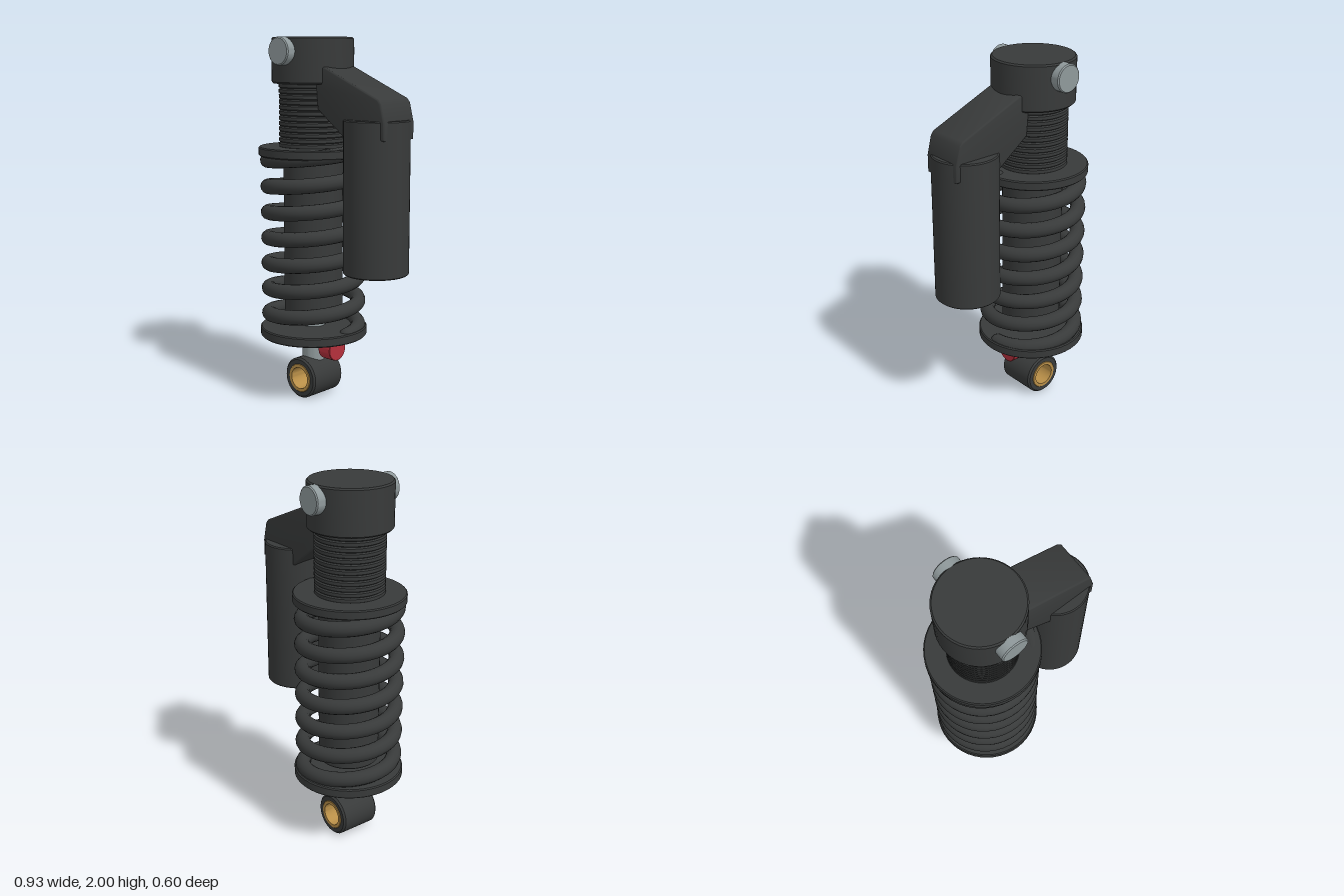
import * as THREE from 'three';
import { toCreasedNormals } from 'three/addons/utils/BufferGeometryUtils.js';

const AXIS = -0.167; // x of the damper centre line
const mat = (color) => new THREE.MeshStandardMaterial({ color });

export function createModel() {
  const root = new THREE.Group();
  const black = mat(0x383a3a), steel = mat(0x8f999b), red = mat(0xb5303c), brass = mat(0xb98f48);

  const add = (name, geometry, material, x = 0, y = 0, z = 0) => {
    const mesh = new THREE.Mesh(geometry, material);
    mesh.name = name;
    mesh.position.set(x, y, z);
    root.add(mesh);
    return mesh;
  };

  // Turned part from [radius, height] pairs, listed bottom to top
  const turned = (points, segments = 48) =>
    toCreasedNormals(new THREE.LatheGeometry(points.map(([r, y]) => new THREE.Vector2(r, y)), segments), 0.5);

  // Solid disc or rod with slightly chamfered rims
  const rod = (r, y0, y1, b = 0.006) =>
    turned([[0, y0], [r - b, y0], [r, y0 + b], [r, y1 - b], [r - b, y1], [0, y1]]);

  // Hollow sleeve centred on its own origin
  const sleeve = (inner, outer, h, b) =>
    turned([[inner, -h], [outer - b, -h], [outer, -h + b], [outer, h - b], [outer - b, h], [inner, h], [inner, -h]]);

  // Main damper stack
  add('head', rod(0.222, 1.755, 2, 0.008), black, AXIS);
  add('damperBody', rod(0.163, 0.455, 1.42), black, AXIS);
  add('upperSpringCollar', rod(0.298, 1.365, 1.415), black, AXIS);
  add('lowerSpringCollar', rod(0.298, 0.355, 0.408), black, AXIS);
  add('shaft', rod(0.065, 0.2, 0.5), steel, AXIS);

  // Threaded sleeve above the spring
  const thread = [[0, 1.4]];
  const pitch = 0.029;
  for (let i = 0; i < 12; i++) {
    const y = 1.41 + i * pitch;
    thread.push([0.177, y], [0.185, y + 0.006], [0.185, y + pitch - 0.006], [0.177, y + pitch]);
  }
  thread.push([0, 1.76]);
  add('threadedSleeve', turned(thread), black, AXIS);

  // Coil spring
  class Helix extends THREE.Curve {
    getPoint(t, target = new THREE.Vector3()) {
      const a = t * 7 * Math.PI * 2;
      return target.set(0.25 * Math.cos(a), 0.39 + t, -0.25 * Math.sin(a));
    }
  }
  add('coilSpring', new THREE.TubeGeometry(new Helix(), 280, 0.041, 14), black, AXIS);
  for (const y of [0.39, 1.39]) {
    add('springEnd', new THREE.SphereGeometry(0.041, 14, 10), black, AXIS + 0.25, y);
  }

  // Mounting pins on both sides of the head
  for (const side of [1, -1]) {
    add('mountingPin', rod(0.074, 0.1, 0.262), steel, AXIS, 1.926).rotation.x = side * Math.PI / 2;
  }

  // Lower eye with its bushing
  add('lowerEye', sleeve(0.078, 0.115, 0.115, 0.01), black, AXIS, 0.115).rotation.x = Math.PI / 2;
  add('eyeBushing', sleeve(0.061, 0.081, 0.118, 0.003), brass, AXIS, 0.115).rotation.x = Math.PI / 2;

  // Rebound adjuster knob
  add('adjusterKnob', rod(0.065, -0.043, 0.043, 0.003), red, -0.027, 0.295).rotation.z = Math.PI / 2;

  // Side reservoir
  add('reservoir', rod(0.174, 0.77, 1.58), black, 0.291);

  // Arm from the head to the reservoir, bevelled along its sides
  const outline = [
    [-0.015, 1.835], [0.03, 1.835], [0.39, 1.682], [0.405, 1.665], [0.429, 1.57],
    [0.429, 1.492], [0.165, 1.5], [-0.01, 1.63], [-0.02, 1.74],
  ];
  const b = 0.01;
  const armGeometry = new THREE.ExtrudeGeometry(
    new THREE.Shape(outline.map(([x, y]) => new THREE.Vector2(x, y))),
    { depth: 0.22, bevelThickness: b, bevelSize: b, bevelSegments: 3 },
  );
  armGeometry.translate(0, 0, -0.11);
  add('reservoirArm', toCreasedNormals(armGeometry, 0.6), black);

  return root;
}
